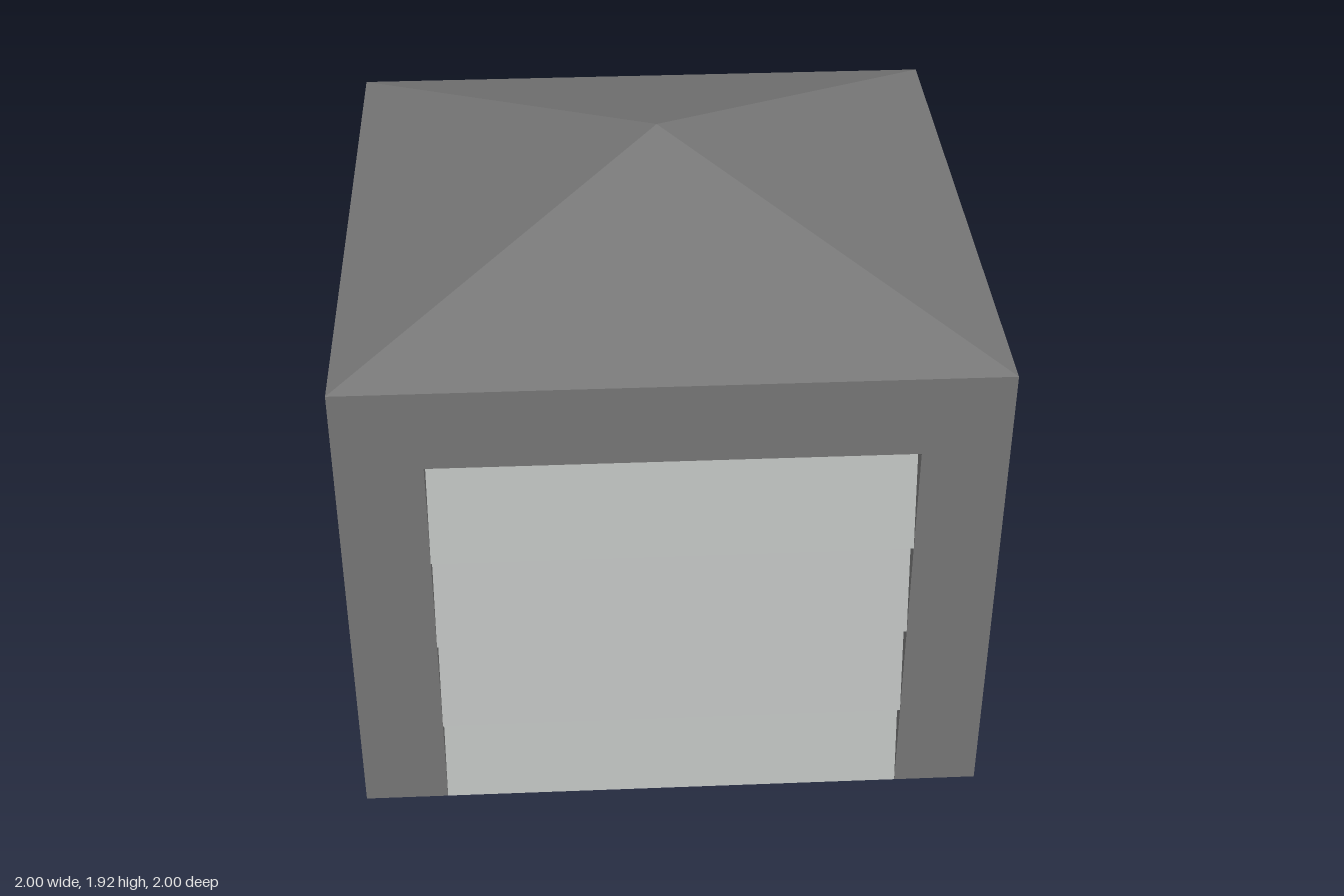
import * as THREE from 'three';

const EAVE = 1.6, APEX = 1.925, OPEN_W = 0.735, OPEN_H = 1.333;
const POST = 1 - OPEN_W, RECESS = 0.06, SLATS = 4, DROP = 0.025;

export function createModel() {
  const frameGrey = new THREE.MeshStandardMaterial({ color: 0x757575, side: THREE.DoubleSide, flatShading: true });
  frameGrey.name = 'frameGrey';
  const slatGrey = new THREE.MeshStandardMaterial({ color: 0xb9bcba, side: THREE.DoubleSide, flatShading: true });
  slatGrey.name = 'slatGrey';

  const add = (parent, name, geometry, material) => {
    const mesh = new THREE.Mesh(geometry, material);
    mesh.name = name;
    parent.add(mesh);
    return mesh;
  };

  // Wall face with an opening that reaches the ground
  const face = new THREE.Shape([
    [-1, 0], [-OPEN_W, 0], [-OPEN_W, OPEN_H], [OPEN_W, OPEN_H],
    [OPEN_W, 0], [1, 0], [1, EAVE], [-1, EAVE],
  ].map(([x, y]) => new THREE.Vector2(x, y)));
  const faceGeometry = new THREE.ShapeGeometry(face).translate(0, 0, 1);

  // Zigzag profile (y, z) of the overlapping slats, bottom to top
  const profile = [];
  const pitch = OPEN_H / SLATS;
  for (let i = 0; i < SLATS; i++) {
    profile.push([i ? i * pitch - DROP : 0, 1], [(i + 1) * pitch, 1 - RECESS]);
  }
  const positions = [];
  for (let i = 0; i < profile.length - 1; i++) {
    const [y0, z0] = profile[i], [y1, z1] = profile[i + 1];
    const a = [-OPEN_W, y0, z0], b = [OPEN_W, y0, z0];
    const c = [OPEN_W, y1, z1], d = [-OPEN_W, y1, z1];
    positions.push(...a, ...b, ...c, ...a, ...c, ...d);
  }
  const slatGeometry = new THREE.BufferGeometry();
  slatGeometry.setAttribute('position', new THREE.Float32BufferAttribute(positions, 3));
  slatGeometry.computeVertexNormals();

  const model = new THREE.Group();
  model.name = 'louveredCupola';

  // Four identical sides
  for (let k = 0; k < 4; k++) {
    const side = new THREE.Group();
    side.name = ['frontSide', 'leftSide', 'backSide', 'rightSide'][k];
    side.rotation.y = k * Math.PI / 2;
    add(side, 'wallFrame', faceGeometry, frameGrey);
    add(side, 'louverSlats', slatGeometry, slatGrey);
    // Inner wall behind the slats
    add(side, 'innerWall', new THREE.PlaneGeometry(2 * OPEN_W, OPEN_H), frameGrey)
      .position.set(0, OPEN_H / 2, OPEN_W);
    // Underside of the header
    const header = add(side, 'headerUnderside', new THREE.PlaneGeometry(2 * OPEN_W, POST), frameGrey);
    header.rotation.x = Math.PI / 2;
    header.position.set(0, OPEN_H, 1 - POST / 2);
    // Inner faces of the hollow corner posts
    for (const s of [-1, 1]) {
      const jamb = add(side, 'postJamb', new THREE.PlaneGeometry(POST, OPEN_H), frameGrey);
      jamb.rotation.y = -s * Math.PI / 2;
      jamb.position.set(s * OPEN_W, OPEN_H / 2, 1 - POST / 2);
    }
    model.add(side);
  }

  // Low pyramid roof, open underneath
  const roof = new THREE.ConeGeometry(Math.SQRT2, APEX - EAVE, 4, 1, true).rotateY(Math.PI / 4);
  add(model, 'roof', roof, frameGrey).position.y = (APEX + EAVE) / 2;

  return model;
}
